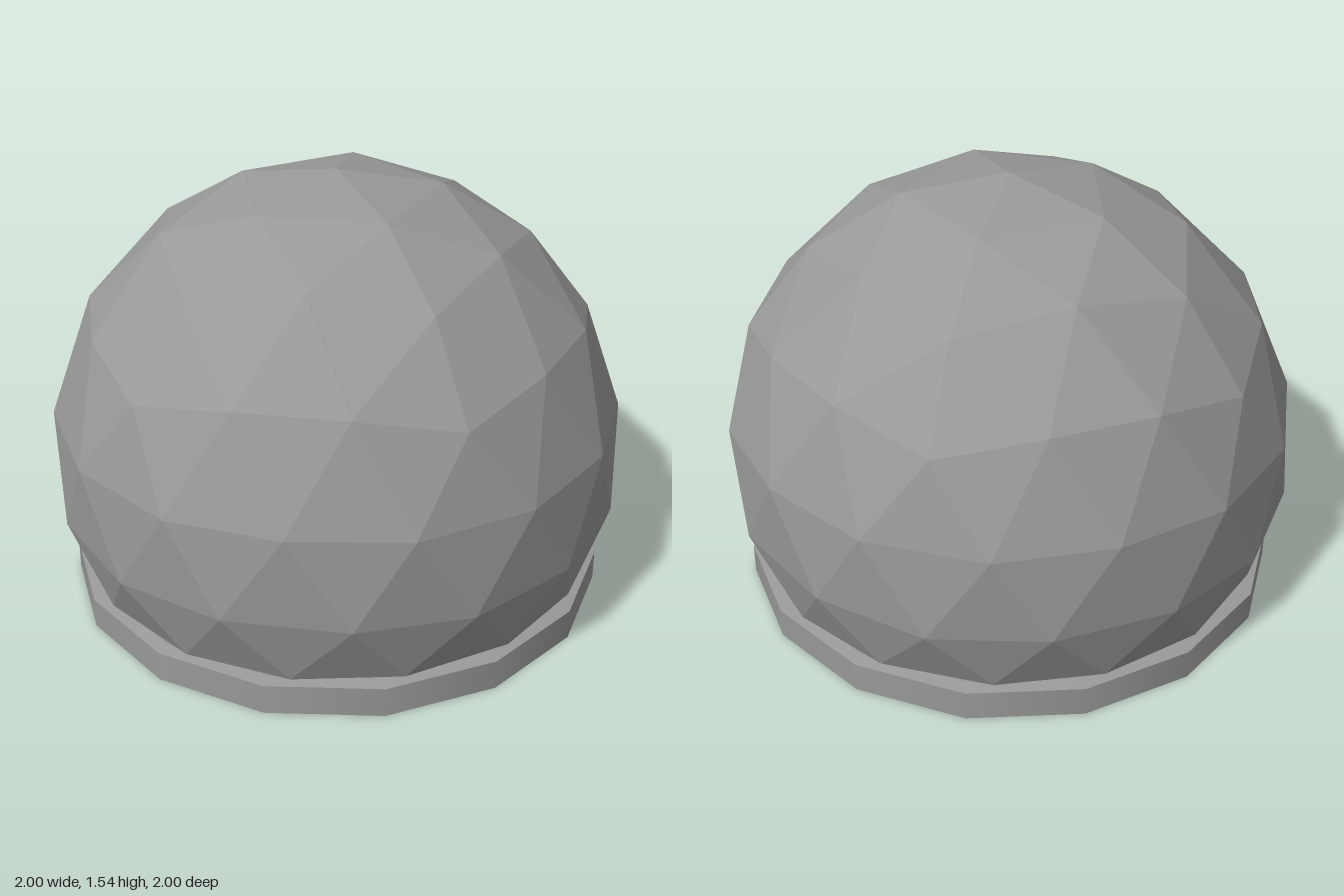
import * as THREE from 'three';

const RADIUS = 1.014;
const CENTER_Y = 0.527;
const BASE_Y = 0.117;      // height of the flattened bottom ring
const BASE_RADIUS = 0.915;
const PHASE = Math.PI / 4; // turn of the dome about y
const COLOR = 0x999999;

// unit vector from height and azimuth (x towards z)
function onSphere(y, azimuth) {
  const r = Math.sqrt(1 - y * y);
  return new THREE.Vector3(r * Math.cos(azimuth), y, r * Math.sin(azimuth));
}

// equal-angle interpolation between unit vectors
function slerp(a, b, t) {
  const angle = a.angleTo(b);
  return a.clone().multiplyScalar(Math.sin((1 - t) * angle))
    .addScaledVector(b, Math.sin(t * angle))
    .divideScalar(Math.sin(angle));
}

// sphere point to model point, bottom ring pressed onto one level
function place(p) {
  if (p.y < -0.4) {
    const k = BASE_RADIUS / Math.hypot(p.x, p.z);
    return new THREE.Vector3(p.x * k, BASE_Y, p.z * k);
  }
  return p.clone().multiplyScalar(RADIUS).setY(p.y * RADIUS + CENTER_Y);
}

// geodesic dome: 15 icosahedron faces, each edge split in three
function domeGeometry() {
  const positions = [];
  const middle = new THREE.Vector3(0, CENTER_Y, 0);

  const addTriangle = (p, q, r) => {
    const [a, b, c] = [p, q, r].map(place);
    const normal = b.clone().sub(a).cross(c.clone().sub(a));
    const outward = normal.dot(a.clone().sub(middle)) > 0;
    for (const v of outward ? [a, b, c] : [a, c, b]) positions.push(v.x, v.y, v.z);
  };

  const addFace = (apex, left, right) => {
    const rows = [[apex]];
    for (let i = 1; i <= 3; i++) {
      const start = slerp(apex, left, i / 3);
      const end = slerp(apex, right, i / 3);
      rows.push(Array.from({ length: i + 1 }, (_, j) => slerp(start, end, j / i)));
    }
    for (let i = 0; i < 3; i++) {
      for (let j = 0; j <= i; j++) {
        addTriangle(rows[i][j], rows[i + 1][j], rows[i + 1][j + 1]);
        if (j < i) addTriangle(rows[i][j], rows[i + 1][j + 1], rows[i][j + 1]);
      }
    }
  };

  const step = Math.PI * 2 / 5;
  const ringY = 1 / Math.sqrt(5);
  const top = new THREE.Vector3(0, 1, 0);
  const upper = (k) => onSphere(ringY, PHASE + k * step);
  const lower = (k) => onSphere(-ringY, PHASE + (k + 0.5) * step);
  for (let k = 0; k < 5; k++) {
    addFace(top, upper(k), upper(k + 1));
    addFace(lower(k), upper(k), upper(k + 1));
    addFace(upper(k), lower(k - 1), lower(k));
  }

  const geometry = new THREE.BufferGeometry();
  geometry.setAttribute('position', new THREE.Float32BufferAttribute(positions, 3));
  geometry.computeVertexNormals();
  return geometry;
}

export function createModel() {
  const model = new THREE.Group();
  model.name = 'geodesicDome';

  const dome = new THREE.Mesh(
    domeGeometry(),
    new THREE.MeshStandardMaterial({ color: COLOR, flatShading: true, side: THREE.DoubleSide })
  );
  dome.name = 'domeShell';
  model.add(dome);

  // 15-sided plinth with a slightly sloping lip
  const material = new THREE.MeshStandardMaterial({ color: COLOR });
  const start = THREE.MathUtils.degToRad(76);
  const addDisc = (name, topRadius, bottomRadius, y0, y1) => {
    const disc = new THREE.Mesh(
      new THREE.CylinderGeometry(topRadius, bottomRadius, y1 - y0, 15, 1, false, start),
      material
    );
    disc.name = name;
    disc.position.y = (y0 + y1) / 2;
    model.add(disc);
  };
  addDisc('basePlinth', 0.956, 0.956, 0, 0.108);
  addDisc('baseLip', 0.912, 0.956, 0.108, BASE_Y);

  return model;
}
